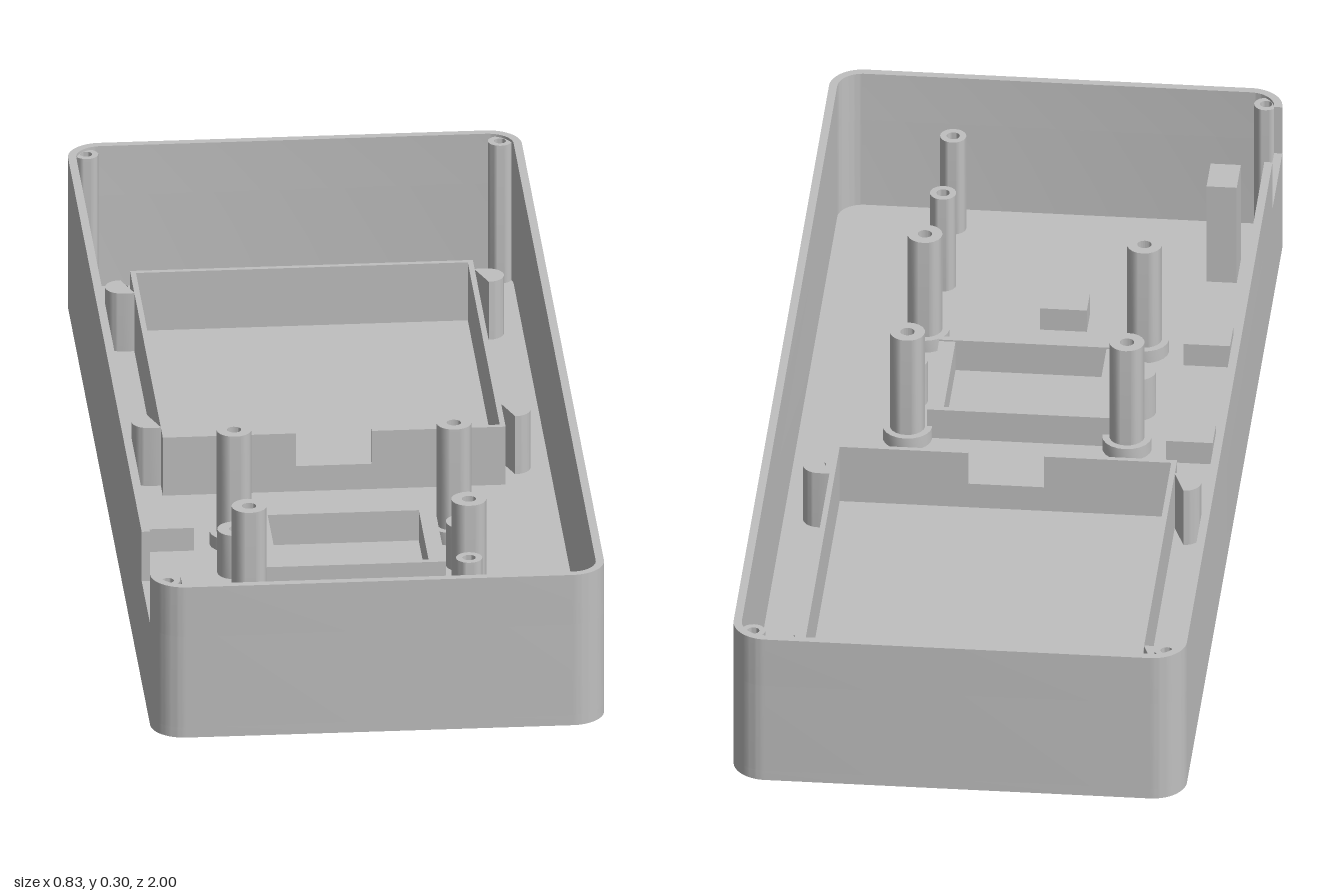
import * as THREE from 'three';
import { toCreasedNormals } from 'three/addons/utils/BufferGeometryUtils.js';

const W = 0.413, L = 1, H = 0.298, R = 0.062; // case half width, half length, height, corner radius
const WALL = 0.015, FLOOR = 0.02, NOTCH_Y = 0.2;

export function createModel() {
  const model = new THREE.Group();
  const grey = new THREE.MeshStandardMaterial({ color: 0xc0c0c0 });
  grey.name = 'plain grey';

  const add = (name, geometry, parent = model) => {
    const mesh = new THREE.Mesh(geometry, grey);
    mesh.name = name;
    parent.add(mesh);
    return mesh;
  };
  const group = (name) => {
    const g = new THREE.Group();
    g.name = name;
    model.add(g);
    return g;
  };

  // Plan shapes use (x, -z); they are raised from y0 to y1
  const raise = (shape, y0, y1) => {
    const geo = new THREE.ExtrudeGeometry(shape, { depth: y1 - y0, bevelEnabled: false, curveSegments: 10 });
    geo.rotateX(-Math.PI / 2).translate(0, y0, 0);
    return toCreasedNormals(geo, 0.7);
  };
  // Rounded outline from (-w, from) around the case to (-w, to)
  const outline = (inset, from = 0, to = 0) => {
    const w = W - inset, l = L - inset, r = R - inset, q = Math.PI / 2;
    const s = new THREE.Shape();
    s.moveTo(-w, from);
    s.absarc(-w + r, -l + r, r, 2 * q, 3 * q);
    s.absarc(w - r, -l + r, r, 3 * q, 4 * q);
    s.absarc(w - r, l - r, r, 0, q);
    s.absarc(-w + r, l - r, r, q, 2 * q);
    s.lineTo(-w, to);
    return s;
  };
  const box = (name, x0, x1, z0, z1, y1, parent, y0 = FLOOR) => {
    const geo = new THREE.BoxGeometry(x1 - x0, y1 - y0, z1 - z0);
    geo.translate((x0 + x1) / 2, (y0 + y1) / 2, (z0 + z1) / 2);
    return add(name, geo, parent);
  };
  // Hollow round screw post
  const post = (name, x, z, r, bore, top, parent) => {
    const s = new THREE.Shape().absarc(0, 0, r, 0, Math.PI * 2);
    s.holes.push(new THREE.Path().absarc(0, 0, bore, 0, Math.PI * 2, true));
    add(name, raise(s, FLOOR, top), parent).position.set(x, 0, z);
  };

  // Tray: floor, full lower wall, and upper wall open at the cable notch
  const tray = group('case');
  add('floor', raise(outline(0), 0, FLOOR), tray);
  const lower = outline(0);
  lower.holes.push(outline(WALL));
  add('lowerWall', raise(lower, FLOOR, NOTCH_Y), tray);
  const rim = [
    ...outline(0, -0.895, -0.745).getPoints(10),
    ...outline(WALL, -0.895, -0.745).getPoints(10).reverse(),
  ];
  add('upperWall', raise(new THREE.Shape(rim), NOTCH_Y, H), tray);

  // Lid posts in three corners
  const corners = group('cornerPosts');
  for (const [x, z] of [[-0.378, -0.962], [0.375, -0.962], [-0.382, 0.955]]) {
    post('cornerPost', x, z, 0.022, 0.011, 0.293, corners);
  }

  // Large frame with a notched front wall
  const frame = group('largeFrame');
  const top = 0.135, X = 0.312, T = 0.01, Z0 = -0.79, Z1 = -0.04;
  box('sideWall', -X, -X + T, Z0, Z1, top, frame);
  box('sideWall', X - T, X, Z0, Z1, top, frame);
  box('backWall', -X + T, X - T, Z0, Z0 + T, top, frame);
  box('frontWall', -X + T, -0.07, Z1 - T, Z1, top, frame);
  box('frontWall', 0.068, X - T, Z1 - T, Z1, top, frame);
  box('notchedWall', -0.07, 0.068, Z1 - T, Z1, 0.07, frame);
  // Screw ears along the frame sides
  for (const side of [-1, 1]) {
    for (const z of [-0.72, -0.115]) {
      const ear = new THREE.Shape();
      ear.moveTo(-0.022, -0.03);
      ear.absarc(0, 0, 0.03, -Math.PI / 2, Math.PI / 2);
      ear.lineTo(-0.022, 0.03);
      ear.holes.push(new THREE.Path().absarc(0, 0, 0.012, 0, Math.PI * 2, true));
      const mesh = add('screwEar', raise(ear, FLOOR, top), frame);
      mesh.position.set(side * 0.333, 0, z);
      mesh.rotation.y = side < 0 ? Math.PI : 0;
    }
  }

  // Small frame
  const small = group('smallFrame');
  box('sideWall', -0.17, -0.14, 0.197, 0.425, 0.08, small);
  box('sideWall', 0.135, 0.165, 0.197, 0.425, 0.08, small);
  box('backWall', -0.17, 0.165, 0.185, 0.197, 0.08, small);
  box('frontWall', -0.17, 0.165, 0.425, 0.437, 0.083, small);

  // Board posts: tall ones on wide collars, low ones between them
  const posts = group('boardPosts');
  for (const x of [-0.2, 0.2]) {
    for (const z of [0.182, 0.525]) {
      post('postCollar', x, z, 0.045, 0.03, 0.045, posts);
      post('tallPost', x, z, 0.032, 0.013, 0.245, posts);
    }
    post('lowPost', x * 1.04, 0.312, 0.033, 0.012, 0.106, posts);
  }
  for (const z of [0.72, 0.92]) post('slimPost', 0.185, z, 0.024, 0.012, 0.215, posts);

  // Support blocks
  const blocks = group('supportBlocks');
  box('block', -0.36, -0.275, 0.14, 0.21, 0.065, blocks);
  box('block', -0.36, -0.275, 0.48, 0.545, 0.065, blocks);
  box('block', -0.09, -0.005, 0.58, 0.645, 0.065, blocks);
  box('tallBlock', -0.345, -0.29, 0.775, 0.855, 0.222, blocks);

  return model;
}
